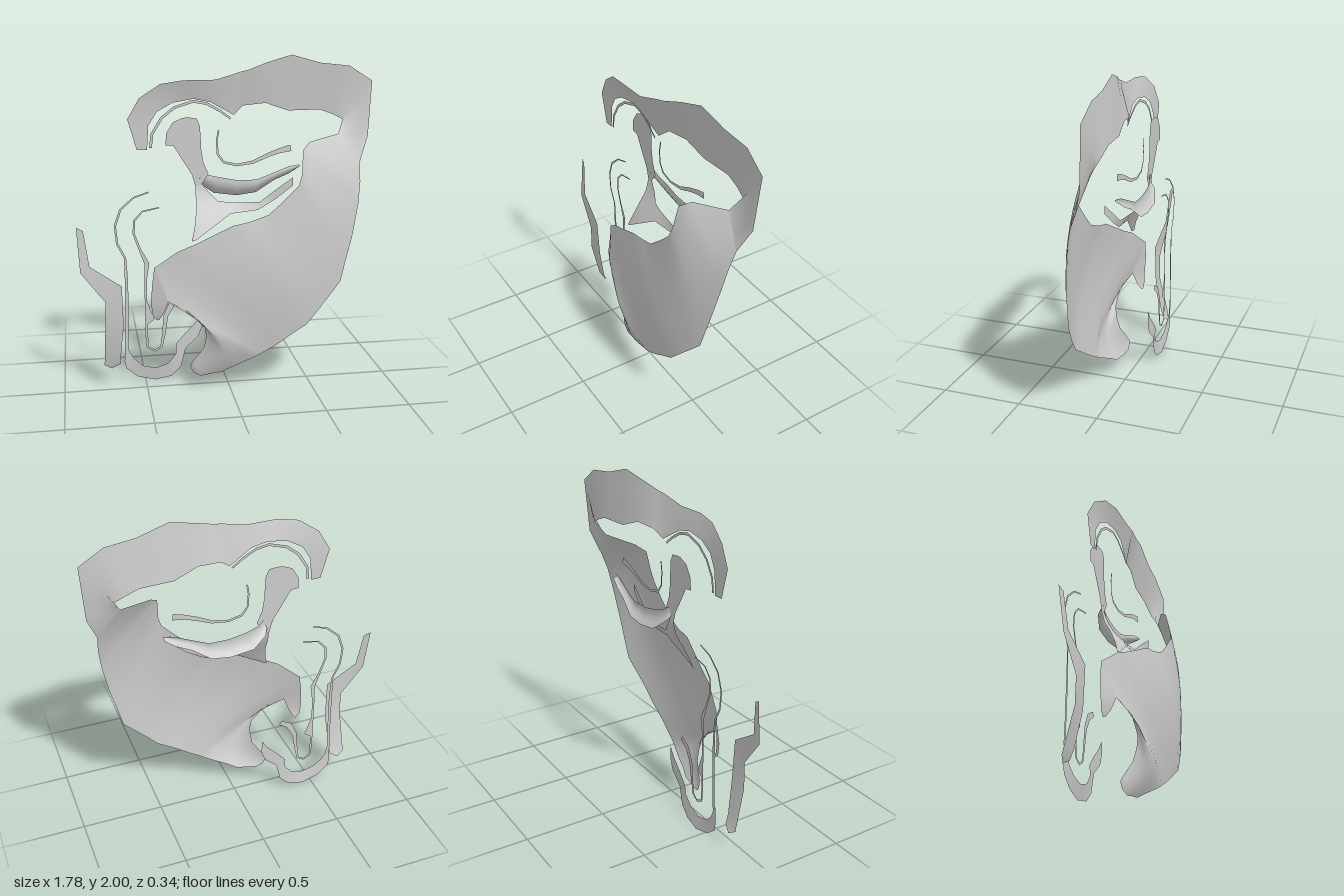
import * as THREE from 'three';

const grey = new THREE.MeshStandardMaterial({ color: 0xcccccc, side: THREE.DoubleSide });
grey.name = 'plain grey';

// Sheet lofted across rows of [ax, ay, az, bx, by, bz]; bulge(t along) pushes the middle to +z.
function ribbon(name, rows, bulge = () => 0, cols = 4) {
  const pos = [], index = [];
  rows.forEach((r, i) => {
    const push = bulge(i / (rows.length - 1));
    for (let j = 0; j <= cols; j++) {
      const t = j / cols;
      pos.push(
        r[0] + (r[3] - r[0]) * t,
        r[1] + (r[4] - r[1]) * t,
        r[2] + (r[5] - r[2]) * t + push * 4 * t * (1 - t));
      if (i && j) {
        const d = i * (cols + 1) + j, b = d - cols - 1;
        index.push(b - 1, d - 1, d, b - 1, d, b);
      }
    }
  });
  const geo = new THREE.BufferGeometry();
  geo.setAttribute('position', new THREE.Float32BufferAttribute(pos, 3));
  geo.setIndex(index);
  geo.computeVertexNormals();
  const mesh = new THREE.Mesh(geo, grey);
  mesh.name = name;
  return mesh;
}

// Flat ribbon at depth z whose rows are [ax, ay, bx, by].
const flat = (name, z, rows) =>
  ribbon(name, rows.map(([ax, ay, bx, by]) => [ax, ay, z, bx, by, z]), undefined, 1);

// Thin line that follows [x, y, width] points at depth z.
function line(name, z, pts) {
  return flat(name, z, pts.map(([x, y, w], i) => {
    const p = pts[Math.max(i - 1, 0)], q = pts[Math.min(i + 1, pts.length - 1)];
    const dx = q[0] - p[0], dy = q[1] - p[1], k = w / 2 / Math.hypot(dx, dy);
    return [x - dy * k, y + dx * k, x + dy * k, y - dx * k];
  }));
}

export function createModel() {
  const g = new THREE.Group();
  g.name = 'face shell';

  // Brow band, outer edge to inner edge
  g.add(ribbon('brow', [
    [-.53, 1.47, -.02, -.47, 1.47, -.02], [-.58, 1.65, -.02, -.46, 1.61, -.02],
    [-.51, 1.77, -.01, -.41, 1.69, -.015], [-.39, 1.85, .01, -.32, 1.74, -.01],
    [-.26, 1.87, .025, -.2, 1.76, -.01], [-.07, 1.87, .02, -.1, 1.74, -.01],
    [.07, 1.91, 0, .04, 1.66, -.03], [.12, 1.92, -.01, .1, 1.71, -.06],
    [.24, 1.96, -.04, .24, 1.72, -.08], [.39, 2, -.065, .38, 1.67, -.1],
    [.57, 1.95, -.08, .58, 1.67, -.115], [.75, 1.93, -.09, .66, 1.64, -.115],
    [.89, 1.84, -.085, .72, 1.61, -.11], [.87, 1.51, -.07, .7, 1.57, -.08],
    [.81, 1.36, -.02, .68, 1.53, -.055],
  ]));

  // Cheek and jaw, inner edge to outer edge
  g.add(ribbon('cheek', [
    [.68, 1.53, -.055, .81, 1.36, -.02], [.48, 1.5, .04, .805, 1.25, .02],
    [.43, 1.46, .09, .79, 1.12, .045], [.42, 1.32, .12, .75, .92, .07],
    [.4, 1.26, .13, .71, .77, .08], [.31, 1.17, .13, .68, .65, .09],
    [.22, 1.09, .13, .61, .57, .11], [.11, 1.05, .12, .53, .48, .13],
    [.01, 1.03, .12, .46, .4, .14], [-.2, .92, .08, .37, .345, .14],
    [-.31, .87, .06, .32, .31, .14], [-.44, .77, .02, .25, .265, .135],
    [-.37, .57, .08, .19, .23, .13], [-.31, .55, .1, .14, .2, .12],
    [-.25, .51, .12, .1, .18, .11], [-.16, .42, .12, .05, .155, .1],
    [-.15, .35, .11, 0, .13, .09], [-.16, .27, .09, -.05, .1, .075],
    [-.23, .17, .06, -.12, .09, .07], [-.24, .14, .05, -.17, .08, .065],
    [-.22, .1, .055, -.18, .08, .065],
  ], t => .05 * Math.sin(Math.PI * t), 6));

  // Lip flap at the front of the cheek
  g.add(ribbon('lipFlap', [
    [-.445, .77, .02, -.44, .77, .02], [-.46, .66, .02, -.405, .67, .05],
    [-.47, .55, .03, -.37, .57, .08], [-.46, .47, .03, -.4, .49, .06],
    [-.435, .44, .03, -.42, .45, .04],
  ]));

  // Bridge of the nose beside the eye, and the foot below it
  g.add(flat('noseBridge', -.1, [
    [-.25, 1.64, -.21, 1.64], [-.31, 1.615, -.17, 1.635], [-.35, 1.55, -.15, 1.59],
    [-.355, 1.48, -.145, 1.5], [-.31, 1.48, -.145, 1.46], [-.25, 1.38, -.13, 1.37],
    [-.2, 1.3, -.1, 1.3], [-.18, 1.23, -.14, 1.24],
  ]));
  g.add(ribbon('noseFoot', [
    [-.18, 1.23, -.1, -.14, 1.24, -.1], [-.18, 1.15, -.08, -.09, 1.18, -.09],
    [-.185, 1.08, -.04, -.05, 1.14, -.07], [-.2, .99, 0, -.07, 1.01, 0],
    [-.22, .92, .02, -.2, .925, .03],
  ]));

  // Fold under the eye
  g.add(ribbon('underEyeFold', [
    [-.05, 1.14, -.07, -.07, 1.01, 0], [.02, 1.13, -.06, .02, 1.07, -.02],
    [.2, 1.13, -.04, .19, 1.085, -.03], [.29, 1.2, -.03, .3, 1.15, -.03],
    [.4, 1.28, -.02, .4, 1.23, -.02],
  ]));

  // Lower eyelid crescent
  g.add(ribbon('lowerEyelid', [
    [-.14, 1.32, -.11, -.16, 1.26, -.11], [-.1, 1.29, -.12, -.14, 1.23, -.14],
    [-.02, 1.27, -.13, -.06, 1.17, -.165], [.08, 1.25, -.13, .08, 1.15, -.165],
    [.2, 1.25, -.13, .2, 1.165, -.165], [.3, 1.29, -.125, .31, 1.24, -.15],
    [.4, 1.33, -.115, .4, 1.28, -.14], [.46, 1.34, -.11, .46, 1.32, -.13],
  ], () => .015));

  // Thin crease lines around the eye
  g.add(line('eyeLine', -.095, [
    [-.04, 1.56, .01], [-.05, 1.5, .01], [-.045, 1.42, .012], [-.01, 1.37, .015],
    [.07, 1.35, .015], [.17, 1.365, .02], [.26, 1.405, .025], [.33, 1.43, .03], [.4, 1.445, .04],
  ]));
  g.add(line('browCrease', -.02, [
    [-.45, 1.48, .016], [-.44, 1.56, .016], [-.385, 1.65, .016], [-.31, 1.71, .016],
    [-.2, 1.745, .016], [-.12, 1.73, .016], [-.04, 1.685, .014], [.02, 1.64, .012],
  ]));

  // Nostril and mouth lines
  g.add(line('outerNoseLine', -.105, [
    [-.46, 1.2, .008], [-.55, 1.17, .01], [-.63, 1.1, .013], [-.665, 1, .013],
    [-.655, .89, .013], [-.61, .8, .013], [-.605, .65, .02], [-.61, .35, .018], [-.615, .24, .02],
  ]));
  g.add(line('innerNoseLine', -.1, [
    [-.4, 1.105, .008], [-.5, 1.085, .01], [-.55, 1.03, .013], [-.555, .95, .013],
    [-.52, .85, .015], [-.48, .76, .03], [-.49, .65, .015], [-.49, .3, .015],
    [-.485, .22, .015], [-.44, .195, .015], [-.4, .22, .015], [-.385, .3, .02],
    [-.37, .42, .03], [-.33, .5, .04], [-.27, .535, .03],
  ]));
  g.add(flat('lineTab', -.1, [
    [-.49, .52, -.483, .52], [-.49, .4, -.44, .4], [-.49, .36, -.483, .37],
  ]));
  g.add(ribbon('chinLoop', [
    [-.625, .25, -.1, -.605, .25, -.1], [-.63, .14, -.1, -.6, .2, -.1],
    [-.62, .09, -.1, -.57, .15, -.095], [-.55, .03, -.1, -.52, .105, -.09],
    [-.44, 0, -.105, -.44, .085, -.09], [-.34, .02, -.1, -.36, .11, -.09],
    [-.28, .08, -.1, -.31, .17, -.095], [-.265, .14, -.1, -.31, .23, -.1],
    [-.25, .2, -.1, -.25, .3, -.1], [-.17, .27, -.1, -.19, .36, -.1],
    [-.145, .34, -.1, -.15, .42, -.1],
  ]));

  // Separate strip on the far side
  g.add(ribbon('sideStrip', [
    [-.895, 1.02, -.03, -.855, 1, -.02], [-.88, .75, 0, -.825, .785, 0],
    [-.74, .565, .01, -.64, .66, .015], [-.745, .4, .01, -.635, .41, .005],
    [-.755, .14, -.05, -.655, .2, -.03], [-.71, .11, -.065, -.66, .14, -.05],
  ]));

  return g;
}
